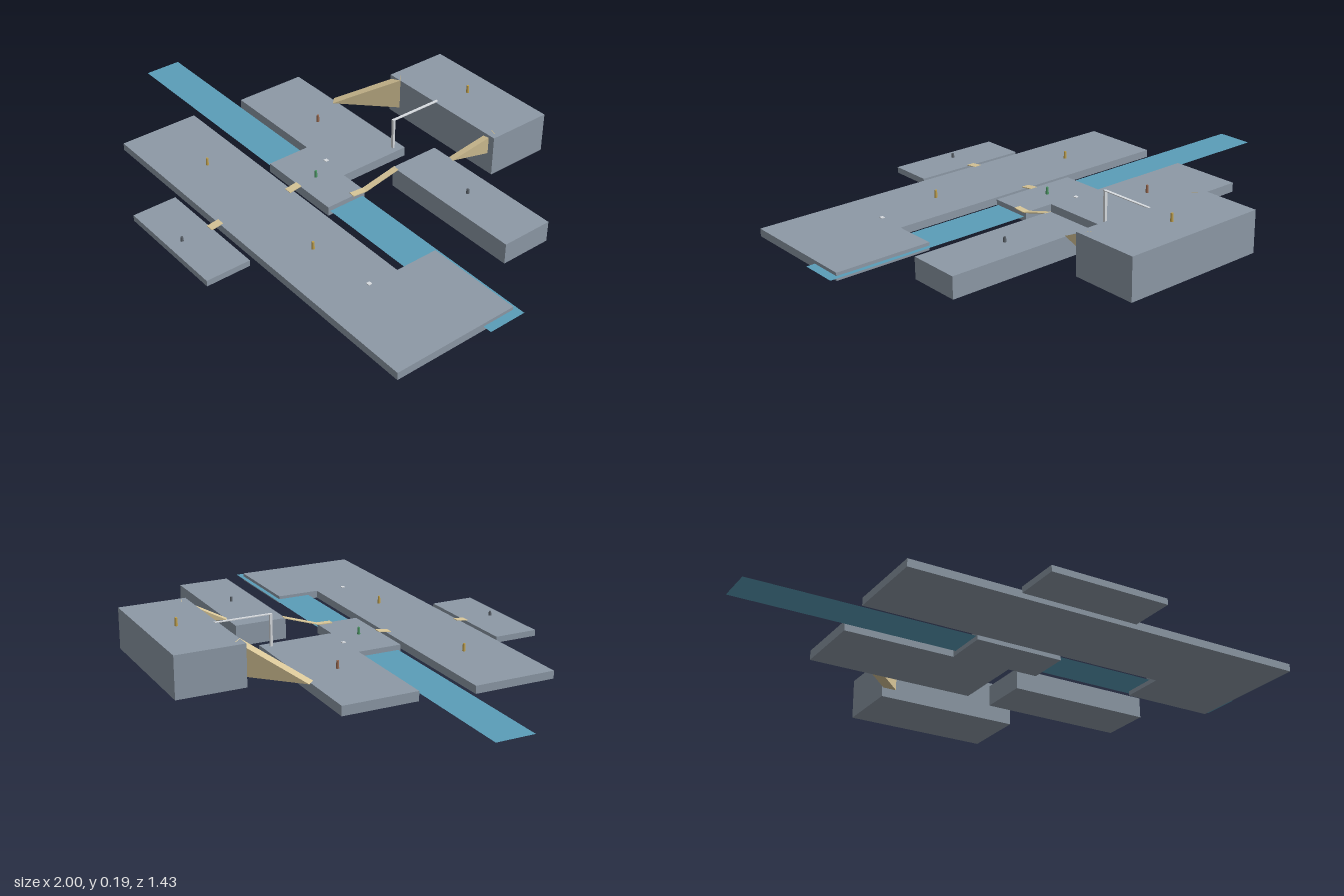
import * as THREE from 'three';

const mat = (color) => new THREE.MeshStandardMaterial({ color, side: THREE.DoubleSide });
const STONE = mat(0x8d99a6), WATER = mat(0x5a9db8), WOOD = mat(0xd8c698), PALE = mat(0xd8dce0);

export function createModel() {
  const model = new THREE.Group();
  const add = (name, geometry, material, x = 0, y = 0, z = 0) => {
    const mesh = new THREE.Mesh(geometry, material);
    mesh.name = name;
    mesh.position.set(x, y, z);
    model.add(mesh);
    return mesh;
  };

  // Block standing on the ground, given by its plan outline [x, z] and its height
  const slab = (name, outline, height) => {
    const shape = new THREE.Shape(outline.map(([x, z]) => new THREE.Vector2(x, -z)));
    const geometry = new THREE.ExtrudeGeometry(shape, { depth: height, bevelEnabled: false });
    add(name, geometry.rotateX(-Math.PI / 2), STONE);
  };
  const rect = (x0, x1, z0, z1) => [[x0, z1], [x1, z1], [x1, z0], [x0, z0]];

  slab('highTerrace', rect(-0.2, 0.37, -0.715, -0.457), 0.157);
  slab('sideTerrace', rect(0.198, 0.77, -0.33, -0.13), 0.08);
  slab('middleTerrace', [[-0.57, -0.005], [-0.145, -0.005], [-0.145, 0.165], [0.198, 0.165],
    [0.198, 0], [0.08, 0], [0.08, -0.29], [-0.57, -0.29]], 0.036);
  slab('longTerrace', [[-0.6, 0.51], [0.967, 0.51], [0.967, 0.027], [0.6, 0.027],
    [0.6, 0.195], [-0.6, 0.195]], 0.029);
  slab('frontTerrace', rect(-0.2, 0.253, 0.54, 0.712), 0.023);

  // Flat strip of water
  add('canal', new THREE.PlaneGeometry(2, 0.146).rotateX(-Math.PI / 2), WATER, 0, 0.017, 0.083);

  // Solid wedge ramp rising from low [x, z] to high [x, z]
  const wedge = (name, low, high, y0, y1, width) => {
    const dx = high[0] - low[0], dz = high[1] - low[1];
    const length = Math.hypot(dx, dz);
    const side = new THREE.Shape([[0, 0], [length, 0], [length, y1 - y0]]
      .map((p) => new THREE.Vector2(...p)));
    const geometry = new THREE.ExtrudeGeometry(side, { depth: width, bevelEnabled: false });
    geometry.translate(0, 0, -width / 2);
    add(name, geometry, WOOD, low[0], y0, low[1]).rotation.y = Math.atan2(-dz, dx);
  };
  wedge('leftStairRamp', [-0.34, -0.286], [-0.155, -0.47], 0.036, 0.158, 0.038);
  wedge('rightStairRamp', [0.288, -0.328], [0.339, -0.484], 0.08, 0.158, 0.026);

  // Thin plank between two points
  const plank = (name, from, to, width, thick, material) => {
    const a = new THREE.Vector3(...from), b = new THREE.Vector3(...to);
    const mesh = add(name, new THREE.BoxGeometry(width, thick, a.distanceTo(b)), material);
    mesh.position.copy(a).add(b).multiplyScalar(0.5);
    mesh.lookAt(b);
  };
  plank('sideRamp', [0.21, 0.08, -0.135], [0.197, 0.038, 0], 0.025, 0.003, WOOD);
  plank('sideRampLanding', [0.197, 0.038, 0], [0.192, 0.038, 0.055], 0.025, 0.003, WOOD);
  plank('innerBridge', [0.025, 0.037, 0.162], [0.025, 0.03, 0.212], 0.03, 0.003, WOOD);
  plank('frontBridge', [0.025, 0.03, 0.5], [0.025, 0.024, 0.547], 0.03, 0.003, WOOD);

  // Hoist: an arm off the high terrace with a post down to the middle terrace
  plank('hoistArm', [0.053, 0.157, -0.47], [0.053, 0.157, -0.25], 0.011, 0.003, PALE);
  add('hoistPost', new THREE.BoxGeometry(0.011, 0.121, 0.009), PALE, 0.053, 0.0965, -0.255);

  // Small tapered markers: x, base y, z, height, colour
  const markers = [
    [0.08, 0.157, -0.6, 0.03, 0xc2a24e],
    [-0.26, 0.036, -0.147, 0.029, 0x9a6a50],
    [0.48, 0.08, -0.23, 0.018, 0x5c636b],
    [0.025, 0.036, 0.085, 0.027, 0x4f9a68],
    [-0.29, 0.029, 0.342, 0.029, 0xc2a24e],
    [0.34, 0.029, 0.342, 0.029, 0xc2a24e],
    [0.025, 0.023, 0.658, 0.017, 0x5c636b],
  ];
  for (const [x, y, z, h, color] of markers) {
    add('marker', new THREE.CylinderGeometry(0.0045, 0.006, h, 8), mat(color), x, y + h / 2, z);
  }

  // Flush pale plates
  for (const [x, y, z] of [[0.597, 0.03, 0.312], [-0.033, 0.037, -0.008]]) {
    add('floorPlate', new THREE.BoxGeometry(0.014, 0.003, 0.014), PALE, x, y, z);
  }
  return model;
}
